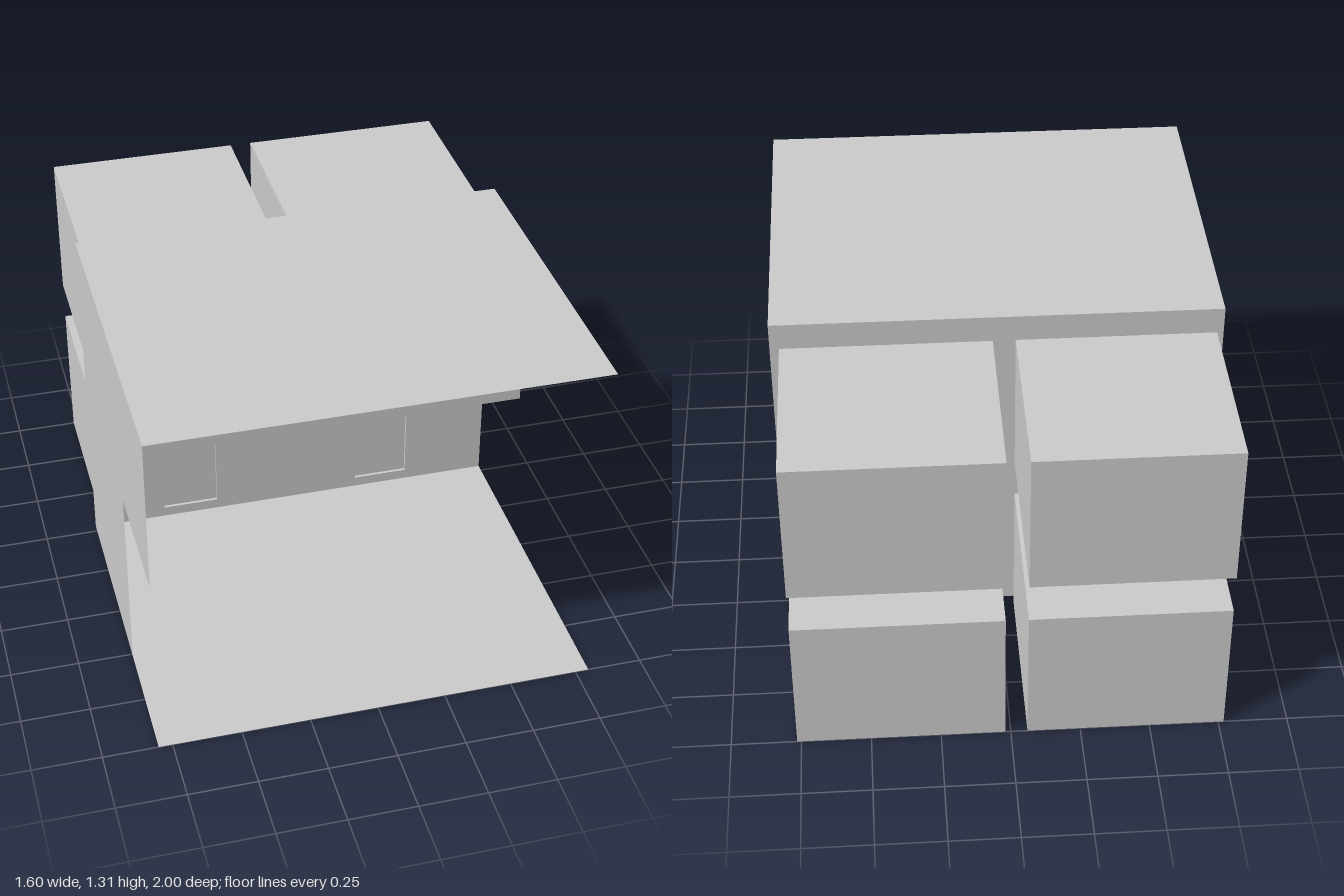
import * as THREE from 'three';

const grey = new THREE.MeshStandardMaterial({ color: 0xcccccc, flatShading: true });
const sheetMat = new THREE.MeshStandardMaterial({ color: 0xcccccc, flatShading: true, side: THREE.DoubleSide });

const W = 0.8, H = 1.31, BACK = -0.28, FRONT = 1;
const DOORS_X = [[-0.52, -0.305], [0.27, 0.48]];
const DOORS_Y = [[0.04, 0.44], [0.72, 1.2]];
const ROOMS_X = [[-0.77, -0.06], [0.02, 0.765]];
const ROOMS_Y = [[0, 0.54], [0.69, 1.235]];

export function createModel() {
  const model = new THREE.Group();

  const add = (name, geometry, material = sheetMat) => {
    const mesh = new THREE.Mesh(geometry, material);
    mesh.name = name;
    model.add(mesh);
    return mesh;
  };
  const box = (name, [x0, x1], [y0, y1], [z0, z1]) =>
    add(name, new THREE.BoxGeometry(x1 - x0, y1 - y0, z1 - z0), grey)
      .position.set((x0 + x1) / 2, (y0 + y1) / 2, (z0 + z1) / 2);
  // Thin horizontal or upright sheets
  const level = (name, [x0, x1], y, [z0, z1]) =>
    add(name, new THREE.PlaneGeometry(x1 - x0, z1 - z0).rotateX(-Math.PI / 2))
      .position.set((x0 + x1) / 2, y, (z0 + z1) / 2);
  const upright = (name, [x0, x1], [y0, y1], z) =>
    add(name, new THREE.PlaneGeometry(x1 - x0, y1 - y0))
      .position.set((x0 + x1) / 2, (y0 + y1) / 2, z);
  const rectangle = (Type, [x0, x1], [y0, y1]) =>
    new Type([[x0, y0], [x1, y0], [x1, y1], [x0, y1]].map(p => new THREE.Vector2(...p)));

  // Shell, open at the front and on the +x side
  const across = [-W, W];
  level('floor', across, 0, [BACK, FRONT]);
  level('roof', across, H, [BACK, FRONT]);

  const side = new THREE.Shape([
    [BACK, 0], [0.51, 0], [0.51, 0.725], [FRONT, 0.725], [FRONT, H], [BACK, H],
  ].map(([z, y]) => new THREE.Vector2(-z, y)));
  add('sideWall', new THREE.ShapeGeometry(side).rotateY(Math.PI / 2)).position.x = -W;

  const wall = rectangle(THREE.Shape, across, [0, H]);
  for (const xs of DOORS_X)
    for (const ys of DOORS_Y) wall.holes.push(rectangle(THREE.Path, xs, ys));
  add('backWall', new THREE.ShapeGeometry(wall)).position.z = BACK;

  // Rear rooms, each joined by a short doorway with a door panel in it
  ROOMS_X.forEach((roomX, i) => ROOMS_Y.forEach((roomY, j) => {
    box('rearRoom', roomX, roomY, [-1, -0.315]);
    const [x0, x1] = DOORS_X[i], [y0, y1] = DOORS_Y[j], depth = [-0.315, BACK];
    for (const y of [y0, y1]) level('doorway', [x0, x1], y, depth);
    for (const x of [x0, x1])
      add('doorJamb', new THREE.PlaneGeometry(0.035, y1 - y0).rotateY(Math.PI / 2))
        .position.set(x, (y0 + y1) / 2, -0.2975);
    const panelY = j === 0 ? [0.02, 0.47] : [0.71, 1.2];
    box('doorPanel', [x0 - 0.01, x1 + 0.01], panelY, [-0.302, -0.292]);
  }));

  // Balcony of thin folded sheets, open at its ends
  level('balconyFloor', across, 0.69, [BACK, 0.1]);
  level('balconyUnderside', across, 0.62, [BACK, 0.13]);
  level('balconyLedge', across, 0.77, [0.1, 0.13]);
  upright('balconyFascia', across, [0.62, 0.77], 0.13);
  upright('balconyParapet', across, [0.69, 0.9], 0.1);

  return model;
}
